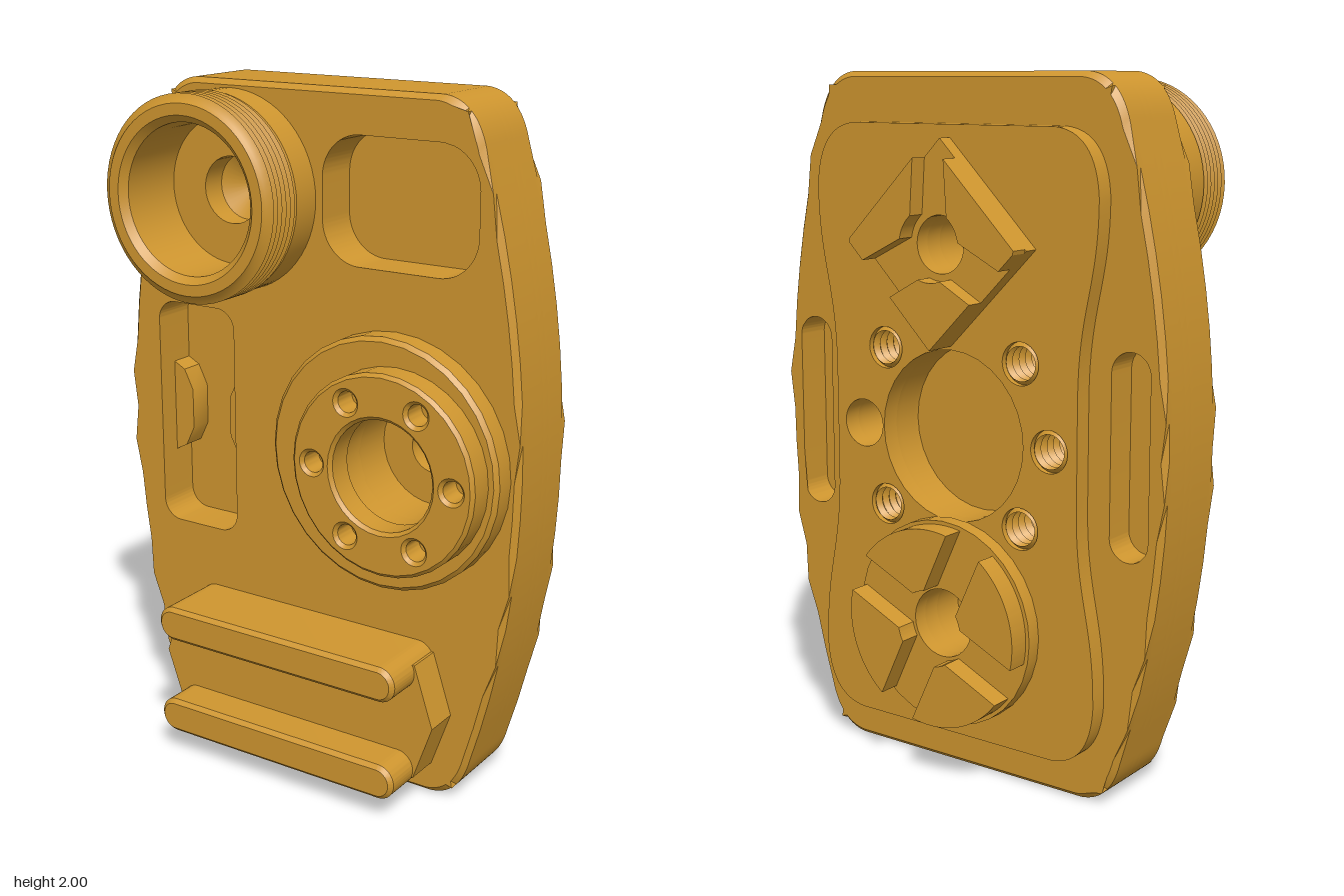
import * as THREE from 'three';
import { toCreasedNormals } from 'three/addons/utils/BufferGeometryUtils.js';

const SEG = 16;

export function createModel() {
  const model = new THREE.Group();
  const ochre = new THREE.MeshStandardMaterial({ color: 0xcf962f });
  const ochreInside = ochre.clone();
  ochreInside.side = THREE.DoubleSide;

  function add(name, geometry, x = 0, y = 0, material = ochre) {
    const mesh = new THREE.Mesh(toCreasedNormals(geometry, 0.5), material);
    mesh.name = name;
    mesh.position.set(x, y, 0);
    model.add(mesh);
    return mesh;
  }

  // Shape helpers
  const circle = (x, y, r, S = THREE.Path) => {
    const p = new S();
    p.absarc(x, y, r, 0, Math.PI * 2, false);
    return p;
  };
  const roundRect = (x0, y0, x1, y1, r, S = THREE.Path) => {
    const p = new S();
    p.absarc(x1 - r, y0 + r, r, -Math.PI / 2, 0, false);
    p.absarc(x1 - r, y1 - r, r, 0, Math.PI / 2, false);
    p.absarc(x0 + r, y1 - r, r, Math.PI / 2, Math.PI, false);
    p.absarc(x0 + r, y0 + r, r, Math.PI, Math.PI * 1.5, false);
    p.closePath();
    return p;
  };
  const polygon = (pts) => new THREE.Shape(pts.map(([x, y]) => new THREE.Vector2(x, y)));
  const withHoles = (shape, holes) => {
    shape.holes.push(...holes);
    return shape;
  };
  // Extrusion between two depths, with an optional chamfer
  function slab(shape, z0, z1, bevel = 0, steps = 1) {
    return new THREE.ExtrudeGeometry(shape, {
      depth: z1 - z0 - 2 * bevel, steps, curveSegments: SEG, bevelEnabled: bevel > 0,
      bevelSize: bevel, bevelThickness: bevel, bevelOffset: -bevel, bevelSegments: 1,
    }).translate(0, 0, z0 + bevel);
  }
  // Turned part around the z axis, from [radius, z] points
  const turned = (pts, segments = 64) => new THREE.LatheGeometry(
    pts.map(([r, z]) => new THREE.Vector2(r, z)), segments).rotateX(Math.PI / 2);
  // Zigzag thread profile
  function thread(r, depth, z0, z1, teeth) {
    const pts = [];
    for (let i = 0; i <= teeth * 2; i++) {
      pts.push([r - (i % 2 ? 0 : depth), z0 + (z1 - z0) * i / (teeth * 2)]);
    }
    return pts;
  }

  // Body outline with bowed sides
  const bodyShape = () => {
    const s = new THREE.Shape();
    s.moveTo(-0.4, 0);
    s.lineTo(0.4, 0);
    s.quadraticCurveTo(0.495, 0.01, 0.525, 0.13);
    s.quadraticCurveTo(0.795, 1, 0.525, 1.87);
    s.quadraticCurveTo(0.495, 1.99, 0.4, 2);
    s.lineTo(-0.4, 2);
    s.quadraticCurveTo(-0.495, 1.99, -0.525, 1.87);
    s.quadraticCurveTo(-0.795, 1, -0.525, 0.13);
    s.quadraticCurveTo(-0.495, 0.01, -0.4, 0);
    return s;
  };
  const key = (x, y) => `${x.toFixed(4)},${y.toFixed(4)}`;
  const rim = new Set(bodyShape().extractPoints(SEG).shape.map((p) => key(p.x, p.y)));
  // Draws in the outline at one depth to chamfer the body's edge
  function chamferRim(geometry, zEnd) {
    const p = geometry.attributes.position;
    for (let i = 0; i < p.count; i++) {
      const x = p.getX(i), y = p.getY(i);
      if (Math.abs(p.getZ(i) - zEnd) < 1e-4 && rim.has(key(x, y))) {
        p.setXY(i, x * 0.977, 1 + (y - 1) * 0.985);
      }
    }
    return geometry;
  }

  // Holes shared by the back plate and the rear of the body
  const bolts = [[-0.33, 1]];
  for (const sx of [-1, 1]) for (const sy of [-1, 1]) bolts.push([sx * 0.235, 1 + sy * 0.23]);
  const backHoles = () => [
    circle(0, 1, 0.245), circle(0.32, 1, 0.07), circle(0, 0.465, 0.1), circle(0, 1.54, 0.08),
    ...bolts.map(([x, y]) => circle(x, y, 0.06)),
  ];
  const slots = [-1, 1].map((s) => roundRect(s * 0.55 - 0.06, 0.715, s * 0.55 + 0.06, 1.285, 0.0599));

  // Body in three layers, so that pockets and holes end at a floor
  add('bodyRear', chamferRim(slab(withHoles(bodyShape(), [...backHoles(), ...slots]), -0.16, -0.06, 0, 6), -0.16));
  add('bodyMiddle', slab(withHoles(bodyShape(), [circle(0.32, 1, 0.07)]), -0.06, -0.03));
  add('bodyFront', chamferRim(slab(withHoles(bodyShape(), [
    circle(0.32, 1, 0.165), circle(-0.27, 1.695, 0.095),
    roundRect(0.035, 1.525, 0.52, 1.88, 0.12), roundRect(-0.55, 0.66, -0.275, 1.345, 0.06),
  ]), -0.03, 0.105, 0, 8), 0.105));

  // Tabs narrowing the side pocket
  for (const s of [-1, 1]) {
    const pts = [[0.138, 0.86], [0.1, 0.88], [0.07, 0.94], [0.07, 1.06], [0.1, 1.12], [0.138, 1.14]];
    add('pocketTab', slab(polygon(pts.map(([x, y]) => [-0.4125 + s * x, y])), -0.03, 0.04));
  }

  // Waisted back plate
  const plate = new THREE.Shape();
  plate.moveTo(-0.34, 0.12);
  plate.lineTo(0.34, 0.12);
  plate.quadraticCurveTo(0.47, 0.13, 0.48, 0.3);
  plate.bezierCurveTo(0.48, 0.55, 0.42, 0.6, 0.42, 0.85);
  plate.lineTo(0.42, 1.15);
  plate.bezierCurveTo(0.42, 1.4, 0.48, 1.45, 0.48, 1.68);
  plate.quadraticCurveTo(0.47, 1.85, 0.34, 1.86);
  plate.lineTo(-0.34, 1.86);
  plate.quadraticCurveTo(-0.47, 1.85, -0.48, 1.68);
  plate.bezierCurveTo(-0.48, 1.45, -0.42, 1.4, -0.42, 1.15);
  plate.lineTo(-0.42, 0.85);
  plate.bezierCurveTo(-0.42, 0.6, -0.48, 0.55, -0.48, 0.3);
  plate.quadraticCurveTo(-0.47, 0.13, -0.34, 0.12);
  add('backPlate', slab(withHoles(plate, backHoles()), -0.215, -0.16));

  // Threads inside the rear bolt holes
  for (const [x, y] of bolts) {
    add('boltThread', turned(thread(0.06, 0.012, -0.213, -0.062, 5), 24), x, y, ochreInside);
  }

  // Coupling jaws: raised lugs parted by radial grooves
  function jaw(name, y, inner, radius, angles, top) {
    const w = 0.062;
    angles.forEach((a0, i) => {
      const a1 = i + 1 < angles.length ? angles[i + 1] : angles[0] + Math.PI * 2;
      const pts = [];
      const arc = (r, from, to, n) => {
        for (let k = 0; k <= n; k++) {
          const a = from + (to - from) * k / n;
          pts.push([r(a) * Math.cos(a), r(a) * Math.sin(a)]);
        }
      };
      const d0 = Math.asin(w / radius(a0)), d1 = Math.asin(w / radius(a1));
      const di = Math.asin(w / inner);
      arc(radius, a0 + d0, a1 - d1, 40);
      arc(() => inner, a1 - di, a0 + di, 8);
      add(name, slab(polygon(pts), top, -0.26), 0, y);
    });
  }
  const rad = (list) => list.map((d) => d * Math.PI / 180);
  add('roundJawBase', slab(withHoles(circle(0, 0, 0.3, THREE.Shape), [circle(0, 0, 0.1)]), -0.26, -0.215), 0, 0.465);
  jaw('roundJawLug', 0.465, 0.11, () => 0.288, rad([25, 115, 205, 295]), -0.325);
  const diamond = polygon([[0.285, 0], [0, 0.285], [-0.285, 0], [0, -0.285]]);
  add('squareJawBase', slab(withHoles(diamond, [circle(0, 0, 0.08)]), -0.26, -0.215), 0, 1.54);
  jaw('squareJawLug', 1.54, 0.1,
    (a) => 0.285 / (Math.abs(Math.cos(a)) + Math.abs(Math.sin(a))), rad([90, 210, 330]), -0.313);

  // Threaded barrel with a drilled floor
  add('threadedBarrel', turned([
    [0.283, 0.105], [0.283, 0.195], ...thread(0.287, 0.018, 0.2, 0.315, 6),
    [0.262, 0.325], [0.23, 0.325], [0.21, 0.305], [0.21, 0.105],
  ]), -0.27, 1.695);
  add('drillPoint', turned([[0.0001, -0.028], [0.095, 0.03]], 32), -0.27, 1.695, ochreInside);

  // Stepped flange with a ring of screw holes
  const flange = circle(0.273, 1, 0.362, THREE.Shape);
  add('flangeBase', slab(withHoles(flange, [circle(0.32, 1, 0.165)]), 0.085, 0.178, 0.012));
  const screwHoles = [];
  for (let i = 0; i < 6; i++) {
    const a = i * Math.PI / 3;
    screwHoles.push(circle(0.32 + 0.22 * Math.cos(a), 1 + 0.22 * Math.sin(a), 0.03));
  }
  const ring = circle(0.32, 1, 0.287, THREE.Shape);
  add('flangeRing', slab(withHoles(ring, [circle(0.32, 1, 0.158), ...screwHoles]), 0.165, 0.258, 0.01));

  // Shoe: six-sided base carrying two rounded rails
  add('shoeBase', slab(polygon([
    [-0.41, 0.1], [0.41, 0.1], [0.47, 0.27], [0.41, 0.45], [-0.41, 0.45], [-0.47, 0.27],
  ]), 0.105, 0.21));
  for (const y of [0.07, 0.37]) {
    add('shoeRail', slab(roundRect(-0.41, y, 0.41, y + 0.105, 0.052, THREE.Shape), 0.09, 0.325, 0.012));
  }
  return model;
}
